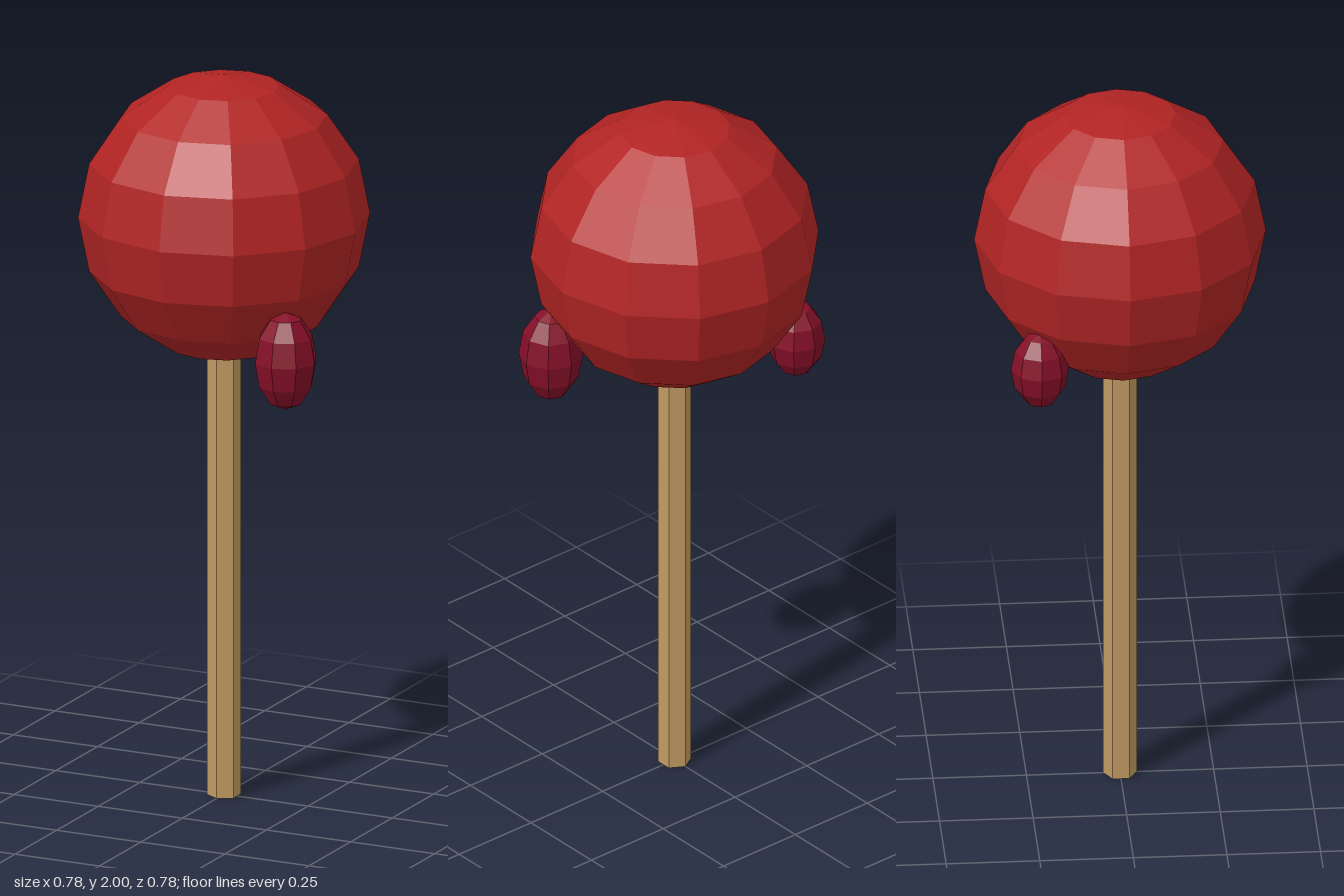
import * as THREE from 'three';

const material = (name, color) => {
  const m = new THREE.MeshStandardMaterial({ color });
  m.name = name;
  return m;
};

// Turn a smooth geometry into a faceted one
const faceted = (geometry) => {
  const g = geometry.toNonIndexed();
  g.computeVertexNormals();
  return g;
};

export function createModel() {
  const group = new THREE.Group();
  group.name = 'lollipop';
  const candyRed = material('candy red', 0xb22424);
  const syrupRed = material('syrup crimson', 0x850f28);
  const wood = material('pale wood', 0xc09a62);

  const add = (name, geometry, mat, x, y, z) => {
    const mesh = new THREE.Mesh(faceted(geometry), mat);
    mesh.name = name;
    mesh.position.set(x, y, z);
    group.add(mesh);
    return mesh;
  };

  // Round head, its lower half resting over the stick
  add('candyHead', new THREE.SphereGeometry(0.39, 12, 8), candyRed, 0, 1.61, 0);

  // Six-sided stick, pushed a little way into the head
  add('stick', new THREE.CylinderGeometry(0.045, 0.045, 1.3, 6), wood, 0, 0.65, 0);

  // Syrup drips: name, radius, half height, position
  const drips = [
    ['frontDrip', 0.086, 0.135, 0.275, 1.29, 0.185],
    ['backDrip', 0.078, 0.11, -0.23, 1.335, -0.23],
  ];
  for (const [name, radius, half, x, y, z] of drips) {
    const drop = new THREE.SphereGeometry(1, 8, 6).scale(radius, half, radius);
    add(name, drop, syrupRed, x, y, z);
  }

  return group;
}
